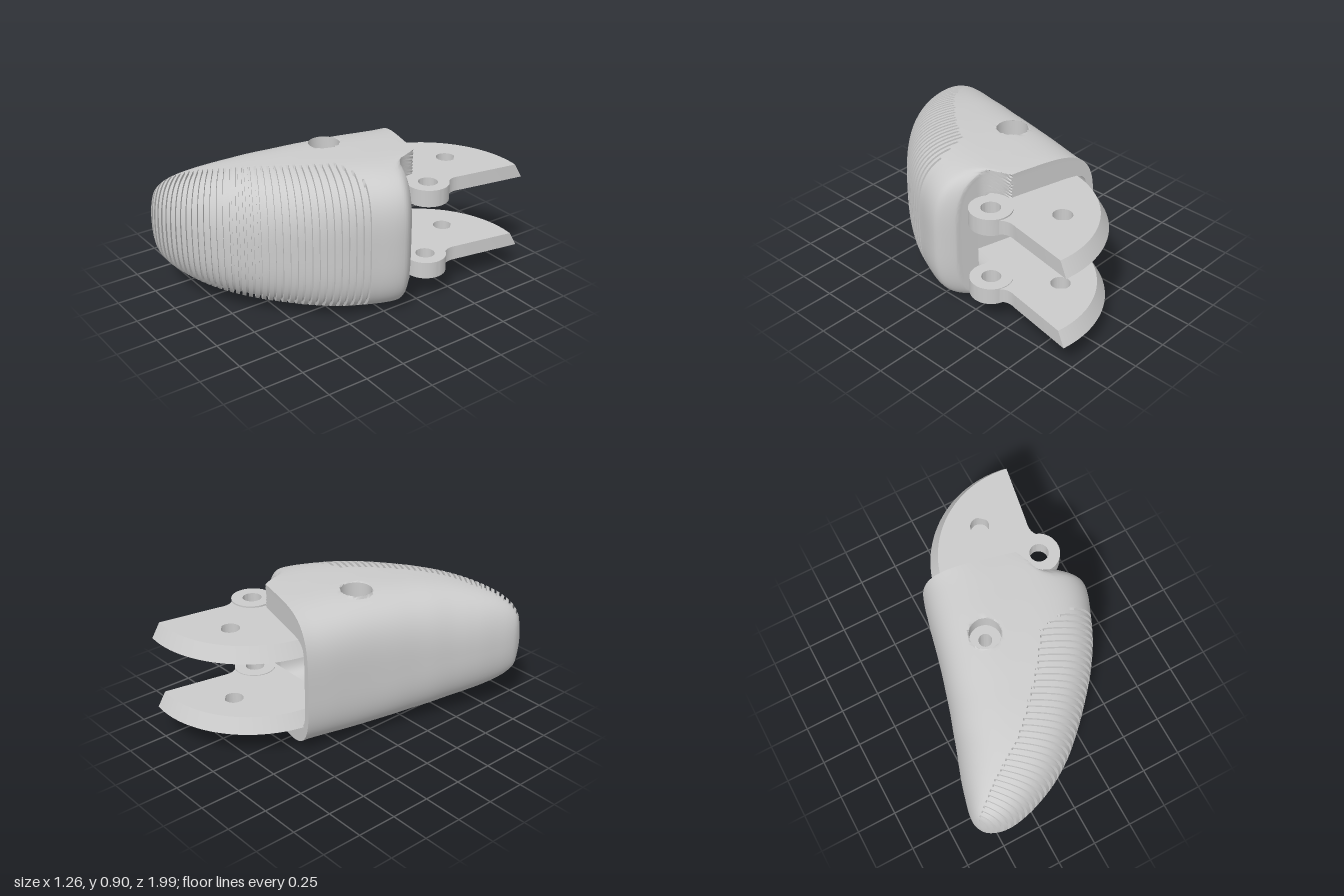
import * as THREE from 'three';
import { toCreasedNormals } from 'three/addons/utils/BufferGeometryUtils.js';

const MID = 0.45; // mid height
const SEG = 208; // points around each ring
const HOLE = { x: -0.095, z: 0.015, r: 0.095, h: 0.438 };
const HINGE = { x: 0.46, z: -0.34 };
// Frame of the open end: O corner, U across the opening, T toward the tip
const O = [-0.26, -0.49], U = [0.971, 0.239], T = [-0.239, 0.971];

const material = new THREE.MeshStandardMaterial({ color: 0xcccccc, side: THREE.DoubleSide });

// Body rings: back edge x,z / pad edge x,z / half height / roundness
const rows = [
  [-0.26, -0.49, 0.58, -0.285, 0.445, 3.5], [-0.275, -0.43, 0.64, -0.17, 0.448, 3.5],
  [-0.30, -0.33, 0.635, -0.06, 0.449, 3.5], [-0.33, -0.20, 0.58, 0.10, 0.449, 3.5],
  [-0.365, -0.06, 0.50, 0.27, 0.445, 3.4], [-0.405, 0.08, 0.40, 0.42, 0.437, 3.2],
  [-0.44, 0.20, 0.29, 0.55, 0.425, 3.0], [-0.48, 0.32, 0.17, 0.675, 0.41, 2.8],
  [-0.515, 0.43, 0.04, 0.79, 0.388, 2.6], [-0.55, 0.53, -0.10, 0.88, 0.358, 2.5],
  [-0.58, 0.62, -0.25, 0.945, 0.322, 2.4], [-0.605, 0.71, -0.38, 0.98, 0.28, 2.3],
  [-0.625, 0.79, -0.48, 0.985, 0.23, 2.2], [-0.632, 0.85, -0.56, 0.96, 0.165, 2.1],
  [-0.622, 0.89, -0.60, 0.93, 0.06, 2],
];
const LAST = rows.length - 1;
const spline = (a, b) => new THREE.SplineCurve(rows.map(r => new THREE.Vector2(r[a], r[b])));
const backEdge = spline(0, 1), padEdge = spline(2, 3), heights = spline(4, 5);

// Linear lookup in a list of [input, output] pairs
function lookup(table, v) {
  if (v <= table[0][0]) return table[0][1];
  for (let i = 1; i < table.length; i++) {
    const [a, fa] = table[i - 1], [b, fb] = table[i];
    if (v <= b) return fa + (fb - fa) * (v - a) / (b - a);
  }
  return table[table.length - 1][1];
}
// Depth of the hinge notch across the opening, and start of the ribbed pad
const notch = u => lookup([[0.587, 0], [0.6, 0.045], [0.62, 0.085], [0.65, 0.118], [0.695, 0.14], [0.87, 0.135]], u);
const padStart = k => lookup([[3.2, 0.9], [3.6, 0.74], [4, 0.65], [6, 0.61], [8, 0.55], [10, 0.45], [13, 0.38]], k);

// Unit superellipse point at angle a
function superPoint(a, n) {
  const c = Math.cos(a), s = Math.sin(a);
  const r = Math.pow(Math.abs(c) ** n + Math.abs(s) ** n, -1 / n);
  return [c * r, s * r];
}
const angle = j => (j / SEG) * Math.PI * 2;
const endPoint = (u, y, t) => [O[0] + U[0] * u + T[0] * t, MID + y, O[1] + U[1] * u + T[1] * t];

// Section points of the opening: outer rim and cavity, as u and y
const outerEnd = j => { const [c, s] = superPoint(angle(j), 3.5); return [0.4325 + 0.4325 * c, 0.445 * s]; };
const innerEnd = j => { const [c, s] = superPoint(angle(j), 7); return [0.385 + 0.335 * c, 0.29 * s]; };

// One ring of the outer skin at row position k, cut inward where cut > 0
function skinRing(k, cut) {
  const A = backEdge.getPoint(k / LAST), B = padEdge.getPoint(k / LAST), H = heights.getPoint(k / LAST);
  const half = A.distanceTo(B) / 2, fade = Math.max(0, 1 - k / 3), ring = [];
  for (let j = 0; j < SEG; j++) {
    const [c, s] = superPoint(angle(j), H.y);
    let f = (1 + c) / 2, y = s * H.x;
    if (cut && f > padStart(k)) {
      const len = Math.hypot(c * half, y), g = 1 - Math.min(cut / len, 0.5);
      f = (1 + c * g) / 2;
      y *= g;
    }
    const d = notch(outerEnd(j)[0]) * fade;
    ring.push([A.x + (B.x - A.x) * f + T[0] * d, MID + y, A.y + (B.y - A.y) * f + T[1] * d]);
  }
  return ring;
}

function bodyGeometry() {
  const rings = [], loop = fn => Array.from({ length: SEG }, (_, j) => fn(j));
  // Cavity: floor, walls, then the rim out to the skin
  rings.push(loop(() => endPoint(0.385, 0, 0.38)));
  rings.push(loop(j => endPoint(...innerEnd(j), 0.38)));
  for (let i = 0; i < 8; i++) rings.push(loop(j => {
    const [u, y] = innerEnd(j), [v, w] = outerEnd(j), m = i / 8;
    const uu = u + (v - u) * m;
    return endPoint(uu, y + (w - y) * m, notch(uu));
  }));
  // Smooth skin behind the pad
  const firstPad = rings.length;
  for (let k = 0; k < 3.2; k += 0.1) rings.push(skinRing(k, 0));
  // Ribbed pad: a groove and a rib per step of equal length along the pad edge
  let k = 3.25;
  while (k < 13.6) {
    const a = padEdge.getPoint(k / LAST), b = padEdge.getPoint((k + 0.05) / LAST);
    const step = 0.042 * 0.05 / a.distanceTo(b);
    [[0, 0], [0.03, 0.02], [0.4, 0.02], [0.43, 0]].forEach(([m, cut]) => rings.push(skinRing(k + m * step, cut)));
    k += step;
  }
  rings.push(skinRing(LAST, 0));
  rings.push(loop(() => [-0.612, MID, 0.913]));

  // Open the round screw holes: slide nearby points onto the circle
  const onHole = new Set();
  rings.forEach((ring, i) => i >= firstPad && ring.forEach((p, j) => {
    const dx = p[0] - HOLE.x, dz = p[2] - HOLE.z, d = Math.hypot(dx, dz), dy = p[1] - MID;
    if (d < HOLE.r && Math.abs(dy) > 0.3) {
      const g = HOLE.r / Math.max(d, 1e-5);
      ring[j] = [HOLE.x + dx * g, MID + Math.sign(dy) * HOLE.h, HOLE.z + dz * g];
      onHole.add(i * SEG + j);
    }
  }));

  const index = [];
  const tri = (...t) => { if (!t.every(v => onHole.has(v))) index.push(...t); };
  for (let i = 0; i < rings.length - 1; i++) for (let j = 0; j < SEG; j++) {
    const a = i * SEG + j, b = i * SEG + (j + 1) % SEG;
    if (i > 0) tri(a, b, a + SEG);
    if (i < rings.length - 2) tri(b, b + SEG, a + SEG);
    else tri(b, b + SEG, a + SEG);
  }
  const geo = new THREE.BufferGeometry();
  geo.setAttribute('position', new THREE.Float32BufferAttribute(rings.flat(2), 3));
  geo.setIndex(index);
  return toCreasedNormals(geo, 0.6);
}

function circleHole(x, y, r) {
  return new THREE.Path().absarc(x, y, r, 0, Math.PI * 2, true);
}
// Extrude a plan shape (x, -z around the hinge) upward
function slab(shape, depth) {
  const geo = new THREE.ExtrudeGeometry(shape, { depth, bevelEnabled: false, curveSegments: 40 });
  return geo.rotateX(-Math.PI / 2);
}

// Sector plate around the hinge with a sloped outer edge
function plateGeometry() {
  const shape = new THREE.Shape();
  shape.moveTo(0.11, 0.65);
  shape.absarc(0, 0, 0.66, 1.403, 3.32, false);
  shape.lineTo(-0.04, -0.118);
  shape.absarc(0, 0, 0.124, 4.385, 7.35, false);
  shape.quadraticCurveTo(0.015, 0.15, 0.035, 0.22);
  shape.holes.push(circleHole(-0.23, 0.33, 0.058), circleHole(0, 0, 0.058));
  const geo = slab(shape, 0.09), p = geo.attributes.position;
  for (let i = 0; i < p.count; i++) {
    if (p.getY(i) > 0.05 && Math.hypot(p.getX(i), p.getZ(i)) > 0.6) {
      p.setX(i, p.getX(i) * 0.924);
      p.setZ(i, p.getZ(i) * 0.924);
    }
  }
  return toCreasedNormals(geo, 0.5);
}

function bossGeometry() {
  const shape = new THREE.Shape().absarc(0, 0, 0.127, 0, Math.PI * 2, false);
  shape.holes.push(circleHole(0, 0, 0.058));
  return toCreasedNormals(slab(shape, 0.105), 0.5);
}

// Stepped screw bore running from top to bottom
function boreGeometry() {
  const h = HOLE.h, pts = [[HOLE.r, h], [HOLE.r, h - 0.11], [0.04, h - 0.11], [0.04, 0.11 - h], [HOLE.r, 0.11 - h], [HOLE.r, -h]];
  return toCreasedNormals(new THREE.LatheGeometry(pts.map(p => new THREE.Vector2(...p)), 48), 0.5);
}

export function createModel() {
  const model = new THREE.Group();
  model.name = 'fingertip';
  const add = (name, geo, x, y, z) => {
    const mesh = new THREE.Mesh(geo, material);
    mesh.name = name;
    mesh.position.set(x, y, z);
    model.add(mesh);
  };
  add('ribbedBody', bodyGeometry(), 0, 0, 0);
  add('screwBore', boreGeometry(), HOLE.x, MID, HOLE.z);
  const plate = plateGeometry(), boss = bossGeometry();
  add('lowerPlate', plate, HINGE.x, 0.175, HINGE.z);
  add('upperPlate', plate, HINGE.x, 0.645, HINGE.z);
  add('lowerHingeBoss', boss, HINGE.x, 0.165, HINGE.z);
  add('upperHingeBoss', boss, HINGE.x, 0.64, HINGE.z);
  return model;
}
